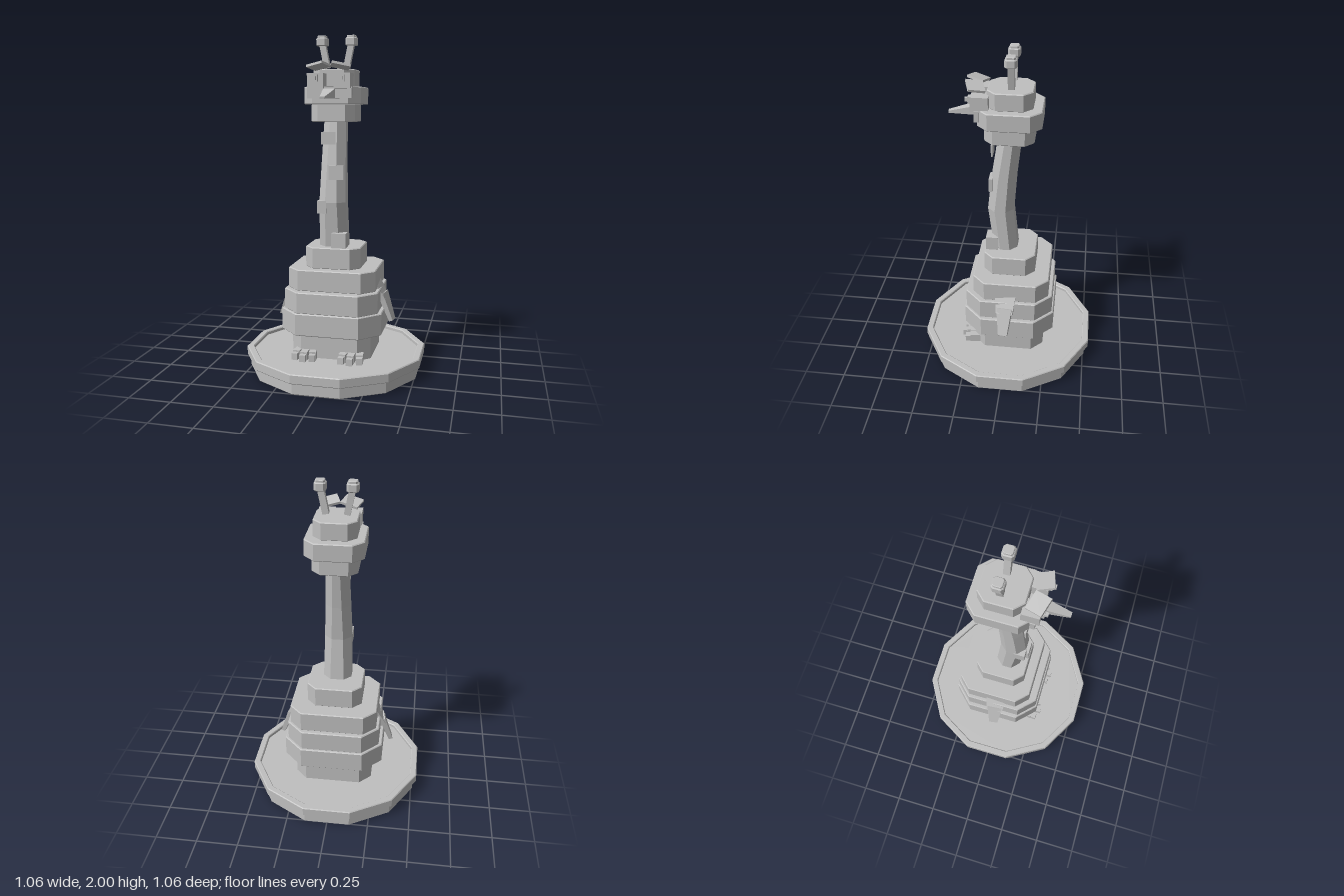
import * as THREE from 'three';

const grey = new THREE.MeshStandardMaterial({ color: 0xc0c0c0 });
grey.name = 'stone grey';

export function createModel() {
  const model = new THREE.Group();
  model.name = 'statue';

  const add = (name, geometry, parent = model) => {
    const mesh = new THREE.Mesh(geometry, grey);
    mesh.name = name;
    parent.add(mesh);
    return mesh;
  };

  // Upright prism from a plan outline of [x, z] points, with a fine bevel
  const prism = (outline, y0, y1, hole, b = 0.005) => {
    const toPoints = (o) => o.map(([x, z]) => new THREE.Vector2(x, -z));
    const shape = new THREE.Shape(toPoints(outline));
    if (hole) shape.holes.push(new THREE.Path(toPoints(hole)));
    const g = new THREE.ExtrudeGeometry(shape, {
      depth: y1 - y0 - 2 * b, bevelEnabled: true, bevelSegments: 1,
      bevelSize: b, bevelThickness: b, bevelOffset: -b,
    });
    return g.rotateX(-Math.PI / 2).translate(0, y0 + b, 0);
  };

  // Twelve-sided outline
  const dodecagon = (r) => Array.from({ length: 12 }, (_, i) => {
    const a = ((i + 0.5) * Math.PI) / 6;
    return [r * Math.cos(a), -r * Math.sin(a)];
  });

  // Rectangle with cut corners, counter-clockwise from above
  const cutRect = (hx, back, front, c, cx = 0) => [
    [hx, front - c], [hx, back + c], [hx - c, back], [c - hx, back],
    [-hx, back + c], [-hx, front - c], [c - hx, front], [hx - c, front],
  ].map(([x, z]) => [x + cx, z]);

  // Tapered box between two points; sizes are [width, depth] at each end
  const limb = (name, p0, p1, s0, s1, parent) => {
    const a = new THREE.Vector3(...p0), d = new THREE.Vector3(...p1).sub(a);
    let g = new THREE.BoxGeometry(1, 1, 1).translate(0, 0.5, 0);
    const p = g.attributes.position;
    for (let i = 0; i < p.count; i++) {
      const s = p.getY(i) > 0.5 ? s1 : s0;
      p.setXYZ(i, p.getX(i) * s[0], p.getY(i) * d.length(), p.getZ(i) * s[1]);
    }
    g.computeVertexNormals();
    const m = add(name, g, parent);
    m.position.copy(a);
    m.quaternion.setFromUnitVectors(new THREE.Vector3(0, 1, 0), d.normalize());
    return m;
  };

  const box = (name, x0, x1, y0, y1, z0, z1, parent) => {
    const m = add(name, new THREE.BoxGeometry(x1 - x0, y1 - y0, z1 - z0), parent);
    m.position.set((x0 + x1) / 2, (y0 + y1) / 2, (z0 + z1) / 2);
    return m;
  };

  // Plinth with a raised rim around a sunken floor
  add('plinthBase', prism(dodecagon(0.527), 0, 0.07));
  add('plinthFloor', prism(dodecagon(0.52), 0.06, 0.105));
  add('plinthRim', prism(dodecagon(0.55), 0.07, 0.127, dodecagon(0.508)));

  // Stacked body and head blocks: half width, back, front, corner cut, bottom, top
  [
    ['bodyFoot', 0.24, -0.236, 0.2, 0.07, 0.1, 0.255],
    ['bodyBelly', 0.304, -0.298, 0.258, 0.115, 0.253, 0.386],
    ['bodyWaist', 0.283, -0.287, 0.248, 0.1, 0.384, 0.511],
    ['bodyChest', 0.264, -0.263, 0.2, 0.075, 0.509, 0.636],
    ['bodyShoulder', 0.167, -0.172, 0.14, 0.055, 0.634, 0.762],
    ['headLower', 0.13, -0.15, 0.13, 0.05, 1.5, 1.602],
    ['headMiddle', 0.167, -0.192, 0.165, 0.062, 1.6, 1.702],
    ['headCrown', 0.122, -0.14, 0.113, 0.05, 1.7, 1.802],
  ].forEach(([name, hx, back, front, c, y0, y1]) =>
    add(name, prism(cutRect(hx, back, front, c), y0, y1)));

  // Bent neck lofted through cut-corner sections: y, half width, back, front, centre x
  const rings = [
    [0.74, 0.086, -0.058, 0.088, -0.005],
    [1.03, 0.08, -0.03, 0.124, -0.005],
    [1.25, 0.073, -0.046, 0.1, -0.004],
    [1.51, 0.066, -0.075, 0.06, -0.003],
  ].map(([y, hx, b, f, cx]) => cutRect(hx, b, f, 0.045, cx).map(([x, z]) => [x, y, z]));
  const verts = [];
  for (let r = 0; r < rings.length - 1; r++) {
    for (let i = 0; i < 8; i++) {
      const j = (i + 1) % 8, lo = rings[r], hi = rings[r + 1];
      verts.push(...lo[i], ...lo[j], ...hi[j], ...lo[i], ...hi[j], ...hi[i]);
    }
  }
  const neck = new THREE.BufferGeometry();
  neck.setAttribute('position', new THREE.Float32BufferAttribute(verts, 3));
  neck.computeVertexNormals();
  add('neck', neck);

  // Plates on the neck
  box('neckPlateTop', -0.068, 0.018, 1.37, 1.443, 0.093, 0.104);
  box('neckPlateUpper', -0.02, 0.068, 1.165, 1.247, 0.09, 0.113);
  box('neckPlateSide', -0.088, -0.033, 0.965, 1.04, 0.06, 0.127);
  box('neckPlateLow', 0, 0.085, 0.762, 0.85, 0.06, 0.133);

  // Beak and the face plate behind it
  box('facePlate', -0.13, 0.13, 1.635, 1.7, 0.15, 0.178);
  limb('beak', [0, 1.665, 0.155], [0, 1.636, 0.338], [0.075, 0.06], [0.028, 0.012]);

  for (const s of [-1, 1]) {
    const side = new THREE.Group();
    side.name = s > 0 ? 'leftSide' : 'rightSide';
    model.add(side);

    // Eye with a square pupil
    const span = (c, h) => [s * c - h, s * c + h];
    box('eye', ...span(0.078, 0.047), 1.69, 1.775, 0.1, 0.198, side);
    box('pupilSurround', ...span(0.078, 0.018), 1.727, 1.765, 0.19, 0.215, side);
    box('pupil', ...span(0.078, 0.01), 1.736, 1.756, 0.21, 0.232, side);

    // Slanted brow
    const brow = add('brow', new THREE.BoxGeometry(0.105, 0.014, 0.095), side);
    brow.position.set(s * 0.063, 1.816, 0.175);
    brow.rotation.set(-0.18, s * 0.33, -s * 0.2, 'YXZ');

    // Antenna with a block tip
    limb('antenna', [s * 0.058, 1.812, -0.02], [s * 0.088, 1.96, -0.02],
      [0.036, 0.036], [0.036, 0.036], side);
    const tip = (hx, c) => cutRect(hx, -0.02 - hx, -0.02 + hx, c, s * 0.088);
    add('antennaTip', prism(tip(0.033, 0.012), 1.94, 1.987), side);
    add('antennaCap', prism(tip(0.026, 0.008), 1.98, 2, null, 0.003), side);

    // Arm in two tapered lengths
    limb('upperArm', [s * 0.215, 0.565, -0.008], [s * 0.295, 0.435, -0.005],
      [0.06, 0.138], [0.045, 0.1], side);
    limb('lowerArm', [s * 0.288, 0.475, -0.005], [s * 0.348, 0.31, 0],
      [0.036, 0.095], [0.024, 0.056], side);

    // Foot with three jointed toes
    [[0.195, 0.262, 0.12], [0.14, 0.285, 0], [0.085, 0.272, -0.12]].forEach(([x, z, turn]) => {
      const toe = new THREE.Group();
      toe.name = 'toe';
      toe.position.set(s * x, 0, z);
      toe.rotation.y = s * turn;
      side.add(toe);
      box('toeJoint', -0.021, 0.021, 0.1, 0.155, -0.11, -0.03, toe);
      box('toeTip', -0.018, 0.018, 0.1, 0.145, -0.04, 0, toe);
    });
  }
  return model;
}
